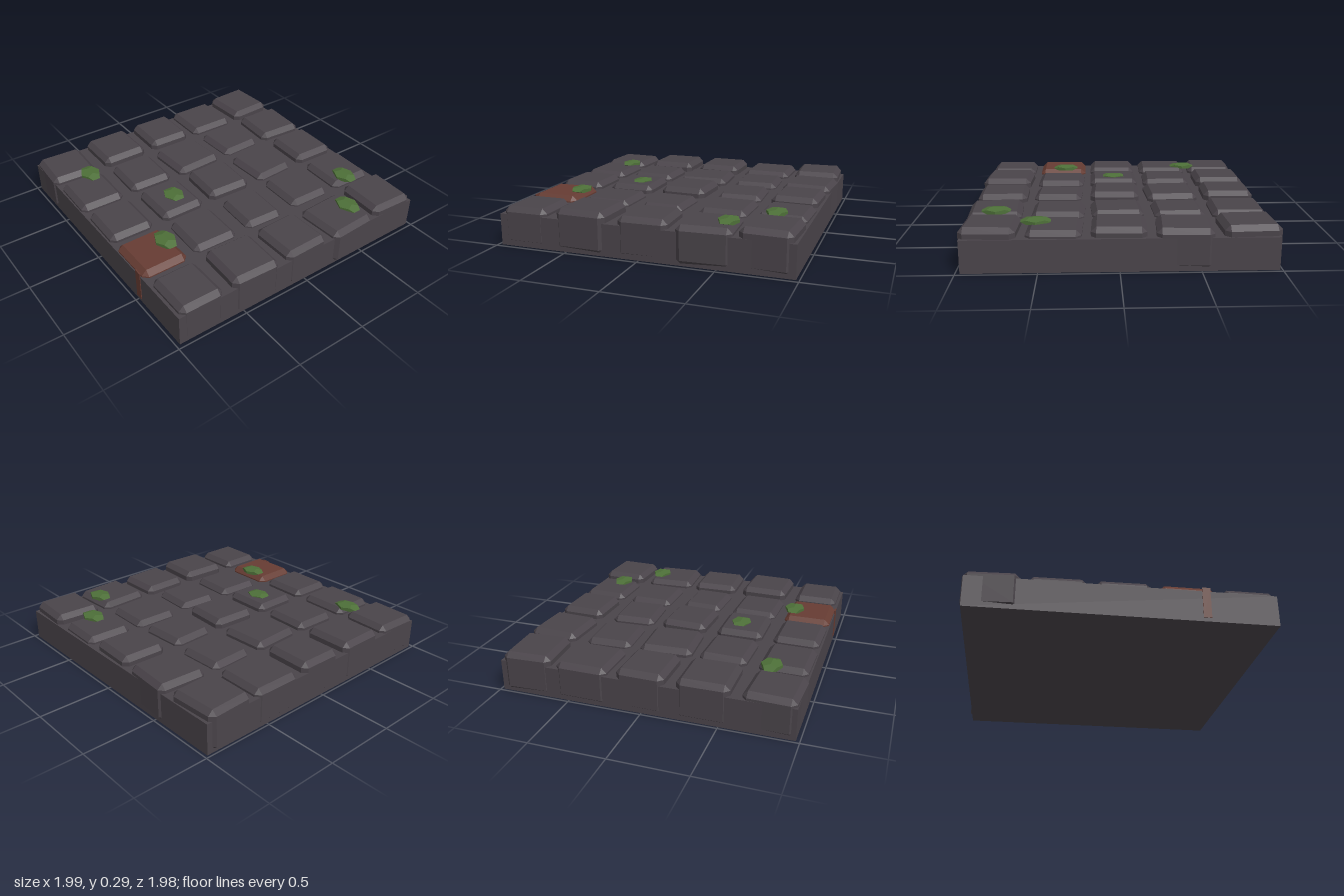
import * as THREE from 'three';
import { ConvexGeometry } from 'three/addons/geometries/ConvexGeometry.js';

const BEVEL = 0.034;
const BOTTOM = 0.006;

// Box with every edge and corner chamfered, centred on the origin
function chamferedBox(width, height, depth, c) {
  const x = width / 2, y = height / 2, z = depth / 2;
  const points = [];
  for (const sx of [-1, 1]) for (const sy of [-1, 1]) for (const sz of [-1, 1]) {
    points.push(
      new THREE.Vector3(sx * x, sy * (y - c), sz * (z - c)),
      new THREE.Vector3(sx * (x - c), sy * y, sz * (z - c)),
      new THREE.Vector3(sx * (x - c), sy * (y - c), sz * z),
    );
  }
  return new ConvexGeometry(points);
}

// Paving stones: x, z, width, depth, turn, top height
const STONES = [
  [[-0.813, -0.80, 0.36, 0.33, 0.05, 0.28], [-0.41, -0.81, 0.355, 0.345, -0.06, 0.268],
    [0, -0.80, 0.345, 0.32, -0.03, 0.275], [0.40, -0.80, 0.345, 0.325, -0.03, 0.258],
    [0.80, -0.80, 0.35, 0.33, -0.05, 0.28]],
  [[-0.81, -0.41, 0.36, 0.35, -0.01, 0.26], [-0.41, -0.41, 0.335, 0.315, 0.04, 0.255],
    [0, -0.40, 0.345, 0.31, 0.05, 0.258], [0.39, -0.41, 0.35, 0.32, -0.02, 0.255],
    [0.81, -0.41, 0.355, 0.355, 0.05, 0.26]],
  [[-0.81, -0.01, 0.35, 0.32, -0.02, 0.28], [-0.40, 0, 0.355, 0.36, 0.05, 0.265],
    [0, 0, 0.345, 0.325, -0.05, 0.277], [0.405, 0.005, 0.335, 0.29, -0.05, 0.255],
    [0.80, -0.015, 0.345, 0.33, 0.02, 0.272]],
  [[-0.81, 0.395, 0.355, 0.34, 0, 0.28], [-0.405, 0.405, 0.345, 0.32, -0.03, 0.265],
    [0, 0.405, 0.355, 0.32, 0, 0.27], [0.40, 0.41, 0.345, 0.325, -0.03, 0.256],
    [0.805, 0.395, 0.355, 0.345, -0.04, 0.283]],
  [[-0.81, 0.81, 0.35, 0.335, -0.05, 0.262], [-0.41, 0.805, 0.365, 0.32, -0.02, 0.26],
    [0, 0.805, 0.35, 0.315, -0.02, 0.263], [0.40, 0.805, 0.36, 0.325, 0, 0.255],
    [0.80, 0.80, 0.345, 0.31, 0, 0.262]],
];

// Moss clumps: x, z
const MOSS = [[0.52, -0.76], [0.795, -0.525], [0, 0.38], [0.38, 0.69], [-0.58, 0.73]];

export function createModel() {
  const group = new THREE.Group();
  const material = (name, color) => new THREE.MeshStandardMaterial({ name, color });
  const stone = material('dark stone', 0x4a444a);
  const rust = material('rust red', 0x663c33);
  const green = material('moss green', 0x4d6f38);

  const add = (name, geometry, mat, x, y, z, turn = 0) => {
    const mesh = new THREE.Mesh(geometry, mat);
    mesh.name = name;
    mesh.position.set(x, y, z);
    mesh.rotation.y = turn;
    group.add(mesh);
    return mesh;
  };

  // Slab under the stones
  add('baseSlab', new THREE.BoxGeometry(1.954, 0.212, 1.954), stone, -0.006, 0.106, -0.002);

  // Five by five grid of uneven stones, one stained red
  STONES.forEach((row, r) => row.forEach(([x, z, w, d, turn, top], c) => {
    const stained = r === 4 && c === 3;
    const height = top - BOTTOM;
    add(stained ? 'stainedStone' : `stone_${r}_${c}`, chamferedBox(w, height, d, BEVEL),
      stained ? rust : stone, x, BOTTOM + height / 2, z, turn);
  }));

  // Drip running down the front from the stained stone
  add('redDrip', new THREE.BoxGeometry(0.052, 0.21, 0.009), rust, 0.512, 0.132, 0.975);

  // Flattened moss clumps
  const mossGeometry = new THREE.DodecahedronGeometry(1, 0).scale(0.102, 0.024, 0.075);
  MOSS.forEach(([x, z], i) => add(`mossClump_${i}`, mossGeometry, green, x, 0.264, z));

  return group;
}
